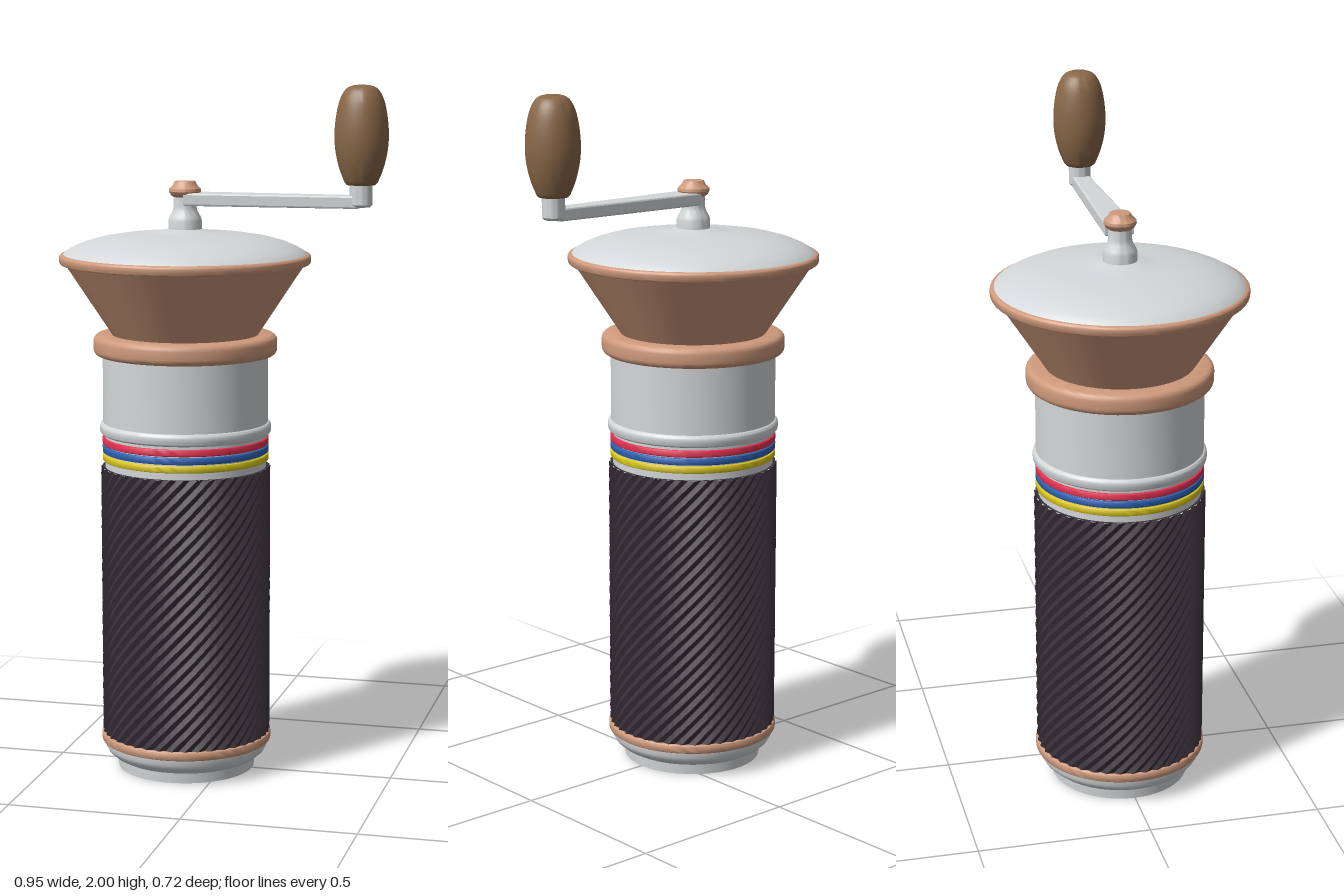
import * as THREE from 'three';
import { toCreasedNormals } from 'three/addons/utils/BufferGeometryUtils.js';

const material = (name, color) => new THREE.MeshStandardMaterial({ name, color });

export function createModel() {
  const silver = material('silver', 0xd4d7d9);
  const copper = material('copper', 0xcf9a7c);
  const grip = material('dark grip', 0x3a313a);
  const wood = material('wood', 0x8a6849);
  const red = material('red', 0xe0304f);
  const blue = material('blue', 0x2c62b4);
  const yellow = material('yellow', 0xdcc81e);

  const model = new THREE.Group();
  model.name = 'handGrinder';
  const body = new THREE.Group();
  body.name = 'body';
  body.position.x = -0.115;
  const crank = new THREE.Group();
  crank.name = 'crank';
  crank.position.x = -0.115;
  model.add(body, crank);

  const add = (parent, name, geometry, mat) => {
    const mesh = new THREE.Mesh(geometry, mat);
    mesh.name = name;
    parent.add(mesh);
    return mesh;
  };
  // Turned part from [radius, height] pairs, bottom to top
  const turned = (parent, name, mat, profile, segments = 72) => {
    const points = profile.map(([r, y]) => new THREE.Vector2(r, y));
    return add(parent, name, toCreasedNormals(new THREE.LatheGeometry(points, segments), 0.6), mat);
  };
  // Band with rounded edges
  const band = (name, mat, r, y0, y1, inner, round) => {
    const profile = [[inner, y0]];
    for (let i = 0; i <= 4; i++) {
      const a = (i / 4) * Math.PI / 2;
      profile.push([r - round + round * Math.sin(a), y0 + round - round * Math.cos(a)]);
    }
    for (let i = 0; i <= 4; i++) {
      const a = (i / 4) * Math.PI / 2;
      profile.push([r - round + round * Math.cos(a), y1 - round + round * Math.sin(a)]);
    }
    profile.push([inner, y1]);
    return turned(body, name, mat, profile);
  };

  // Base and lower trim
  turned(body, 'base', silver, [
    [0, 0], [0.2, 0], [0.202, 0.03], [0.215, 0.037], [0.23, 0.05], [0.238, 0.064], [0.238, 0.085], [0, 0.085],
  ]);
  band('lowerTrim', copper, 0.249, 0.08, 0.107, 0.2, 0.006);

  // Knurled grip: alternate vertices raised into small diamonds
  const columns = 80, rows = 40;
  const knurl = new THREE.CylinderGeometry(1, 1, 0.795, columns, rows, true);
  const pos = knurl.attributes.position;
  for (let i = 0; i < pos.count; i++) {
    const column = i % (columns + 1), row = Math.floor(i / (columns + 1));
    const r = (column + row) % 2 ? 0.246 : 0.239;
    pos.setXYZ(i, pos.getX(i) * r, pos.getY(i), pos.getZ(i) * r);
  }
  const knurled = knurl.toNonIndexed();
  knurled.computeVertexNormals();
  add(body, 'grip', knurled, grip).position.y = 0.5025;
  turned(body, 'gripTop', grip, [[0.242, 0.9], [0.22, 0.9]]);

  // Upper barrel with coloured stripes
  turned(body, 'barrel', silver, [[0.234, 0.895], [0.234, 0.995], [0.239, 1.0], [0.239, 1.24]]);
  [['yellowStripe', yellow, 0.92], ['blueStripe', blue, 0.944], ['redStripe', red, 0.967]]
    .forEach(([name, mat, y]) => band(name, mat, 0.241, y, y + 0.02, 0.232, 0.003));
  band('barrelRing', silver, 0.248, 0.995, 1.032, 0.23, 0.013);

  // Hopper
  band('collar', copper, 0.265, 1.226, 1.286, 0.19, 0.018);
  turned(body, 'funnel', copper, [[0.207, 1.28], [0.345, 1.49]]);
  band('funnelRim', copper, 0.361, 1.488, 1.517, 0.33, 0.009);
  turned(body, 'lid', silver, [
    [0.353, 1.513], [0.345, 1.522], [0.325, 1.534], [0.295, 1.547], [0.25, 1.56],
    [0.19, 1.57], [0.12, 1.577], [0.07, 1.582], [0.05, 1.588], [0, 1.59],
  ]);

  // Spindle and nut
  turned(crank, 'spindle', silver, [
    [0.048, 1.57], [0.048, 1.612], [0.045, 1.622], [0.036, 1.638], [0.033, 1.65], [0.033, 1.69],
  ], 40);
  turned(crank, 'nut', copper, [
    [0, 1.677], [0.03, 1.677], [0.04, 1.684], [0.046, 1.695], [0.045, 1.703],
    [0.034, 1.714], [0.029, 1.724], [0, 1.726],
  ], 40);

  // Tapered arm
  const plan = new THREE.Shape();
  plan.moveTo(0.01, -0.036);
  plan.lineTo(0.505, -0.02);
  plan.lineTo(0.505, 0.02);
  plan.lineTo(0.01, 0.036);
  plan.closePath();
  const armGeometry = new THREE.ExtrudeGeometry(plan, {
    depth: 0.026, bevelEnabled: true, bevelSize: 0.005, bevelThickness: 0.005, bevelSegments: 2,
  });
  armGeometry.rotateX(-Math.PI / 2);
  add(crank, 'arm', armGeometry, silver).position.y = 1.661;

  // Handle socket and wooden knob
  const handle = new THREE.Group();
  handle.name = 'handle';
  handle.position.x = 0.511;
  crank.add(handle);
  turned(handle, 'socket', silver, [
    [0, 1.66], [0.026, 1.66], [0.032, 1.667], [0.032, 1.73], [0, 1.73],
  ], 32);
  const curve = new THREE.SplineCurve([
    [0.046, 1.728], [0.061, 1.765], [0.072, 1.81], [0.076, 1.855], [0.073, 1.905],
    [0.063, 1.955], [0.046, 1.987], [0.025, 1.998], [0, 2],
  ].map(([r, y]) => new THREE.Vector2(r, y)));
  const knob = [[0, 1.722], [0.04, 1.722], ...curve.getPoints(28).map((p) => [Math.max(p.x, 0), p.y])];
  turned(handle, 'knob', wood, knob, 40);

  return model;
}
